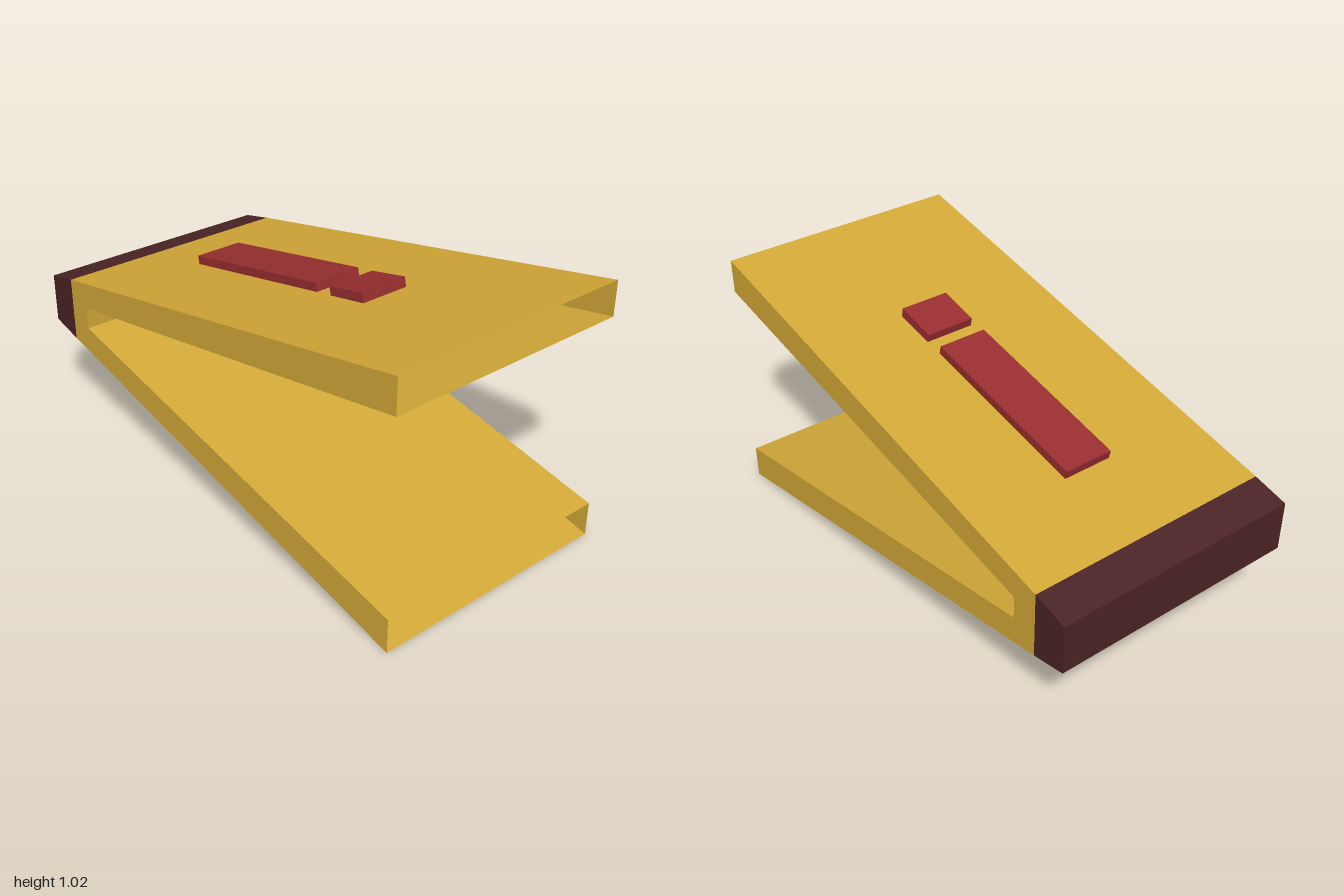
import * as THREE from 'three';

const HALF = 0.493; // half width of the body
const MID = 0.5125; // height of the symmetry plane

export function createModel() {
  const gold = new THREE.MeshStandardMaterial({ color: 0xd4a938, side: THREE.DoubleSide });
  gold.name = 'gold';
  const maroon = new THREE.MeshStandardMaterial({ color: 0x4b2325 });
  maroon.name = 'dark maroon';
  const red = new THREE.MeshStandardMaterial({ color: 0x992e30 });
  red.name = 'red';

  const model = new THREE.Group();
  model.name = 'foldedClip';
  const add = (name, geometry, material, parent = model) => {
    const mesh = new THREE.Mesh(geometry, material);
    mesh.name = name;
    parent.add(mesh);
    return mesh;
  };

  // Side profiles as [z, y] points
  const outer = [[1, 1.025], [-0.86, 0.643], [-0.86, 0.382], [1, 0]];
  const inner = [[1, 0.135], [-0.755, 0.468], [-0.755, 0.557], [1, 0.89]];

  // Sheet of quads swept across the width, open at both ends of the path
  const sheet = (path) => {
    const positions = [];
    for (let i = 0; i < path.length - 1; i++) {
      const [z0, y0] = path[i];
      const [z1, y1] = path[i + 1];
      positions.push(
        -HALF, y0, z0, HALF, y0, z0, HALF, y1, z1,
        -HALF, y0, z0, HALF, y1, z1, -HALF, y1, z1);
    }
    const geometry = new THREE.BufferGeometry();
    geometry.setAttribute('position', new THREE.Float32BufferAttribute(positions, 3));
    geometry.computeVertexNormals();
    return geometry;
  };

  // Shape in the z-y plane; x of the shape is -z of the model
  const profile = (points) => new THREE.Shape(points.map(([z, y]) => new THREE.Vector2(-z, y)));

  // Hollow V-shaped body: outer skin, inner skin and two sides, open at the front ends
  const body = new THREE.Group();
  body.name = 'body';
  model.add(body);
  add('outerSkin', sheet(outer), gold, body);
  add('innerSkin', sheet([...inner].reverse()).scale(-1, 1, 1), gold, body);
  for (const side of [-1, 1]) {
    const geometry = new THREE.ShapeGeometry(profile([...outer, ...inner]));
    const wall = add(side > 0 ? 'leftSide' : 'rightSide', geometry, gold, body);
    wall.rotation.y = Math.PI / 2;
    wall.position.x = side * HALF;
  }

  // Solid tapered block joining the arms at the back
  const hingeShape = profile([[-0.86, 0.643], [-1, 0.611], [-1, 0.414], [-0.86, 0.382]]);
  const hinge = add('hingeBlock',
    new THREE.ExtrudeGeometry(hingeShape, { depth: HALF * 2, bevelEnabled: false }), maroon);
  hinge.rotation.y = Math.PI / 2;
  hinge.position.x = -HALF;

  // Raised bar and dot on the outside of each arm
  for (const side of [1, -1]) {
    const label = side > 0 ? 'upper' : 'lower';
    const raised = (name, thickness, length, y, z, tilt) => {
      const mesh = add(label + name, new THREE.BoxGeometry(0.198, thickness, length), red);
      mesh.position.set(0, MID + side * (y - MID), z);
      mesh.rotation.x = -side * tilt;
    };
    raised('LongBar', 0.034, 0.73, 0.801, -0.18, 0.2026);
    raised('ShortBar', 0.046, 0.17, 0.901, 0.335, 0.225);
  }
  return model;
}
